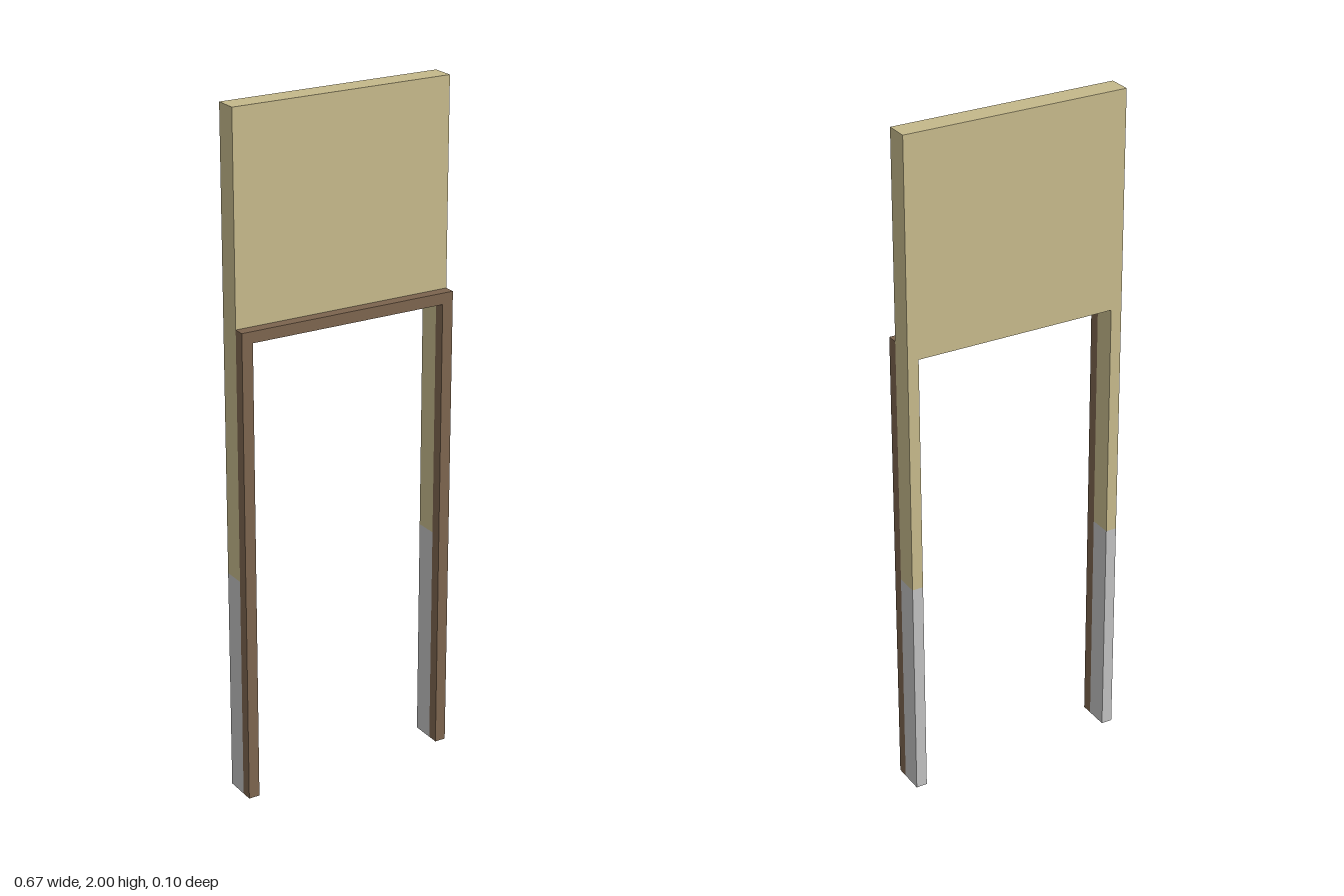
import * as THREE from 'three';

const HALF = 0.333, INNER = 0.3;         // outer and opening half widths
const OPEN_TOP = 1.367, TRIM_TOP = 1.4;  // opening height, trim height
const BASE_TOP = 0.667, TOP = 2;
const BACK = -0.05, FACE = 0.017, FRONT = 0.05;

// Upside-down U outline, extruded between two depths
function archGeometry(bottom, top, z0, z1) {
  const shape = new THREE.Shape([
    [-HALF, bottom], [-INNER, bottom], [-INNER, OPEN_TOP], [INNER, OPEN_TOP],
    [INNER, bottom], [HALF, bottom], [HALF, top], [-HALF, top],
  ].map(([x, y]) => new THREE.Vector2(x, y)));
  const geometry = new THREE.ExtrudeGeometry(shape, { depth: z1 - z0, bevelEnabled: false });
  return geometry.translate(0, 0, z0);
}

export function createModel() {
  const material = (name, color) => new THREE.MeshStandardMaterial({ name, color });
  const plaster = material('sand plaster', 0xc4b88a);
  const wood = material('brown wood', 0x7b644e);
  const stone = material('grey stone', 0xbfbfbf);

  const model = new THREE.Group();
  model.name = 'doorway';
  const add = (name, geometry, mat) => {
    const mesh = new THREE.Mesh(geometry, mat);
    mesh.name = name;
    model.add(mesh);
    return mesh;
  };

  // Wall above and beside the opening
  add('wall', archGeometry(BASE_TOP, TOP, BACK, FACE), plaster);

  // Trim around the opening, standing proud of the wall
  add('doorTrim', archGeometry(0, TRIM_TOP, FACE, FRONT), wood);

  // Stone lower part of each jamb
  for (const [name, side] of [['leftBase', 1], ['rightBase', -1]]) {
    const base = add(name, new THREE.BoxGeometry(HALF - INNER, BASE_TOP, FACE - BACK), stone);
    base.position.set(side * (HALF + INNER) / 2, BASE_TOP / 2, (BACK + FACE) / 2);
  }
  return model;
}
